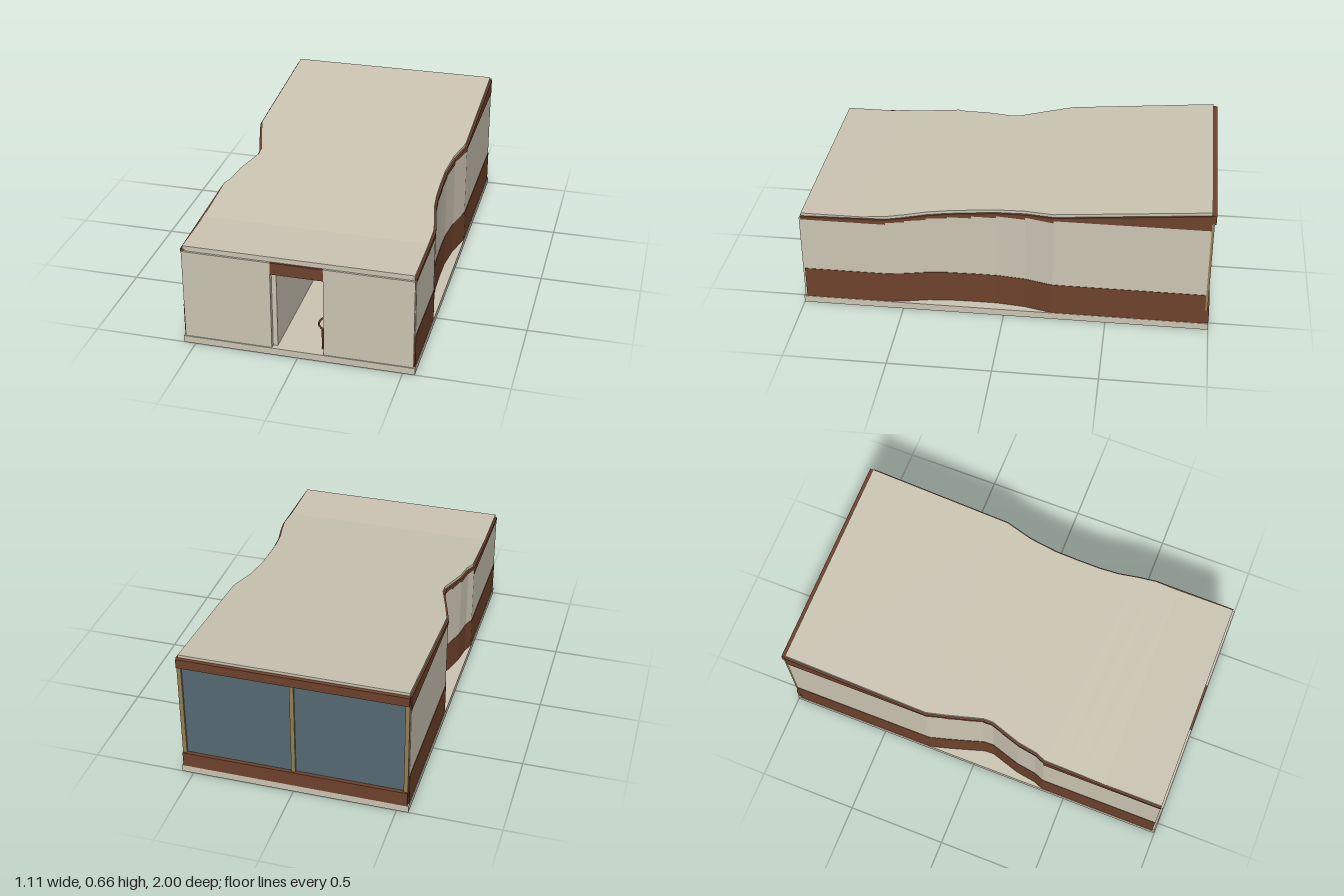
import * as THREE from 'three';

const paint = (name, color) => {
  const m = new THREE.MeshStandardMaterial({ color });
  m.name = name;
  return m;
};

// Solid through a row of four-cornered cross-sections running from +z to -z,
// corners counter-clockwise as seen from +z, with capped ends and flat faces
function loft(rings) {
  const pos = [];
  const quad = (a, b, c, d) => [a, b, c, a, c, d].forEach((p) => pos.push(...p));
  for (let i = 0; i + 1 < rings.length; i++) {
    for (let j = 0; j < 4; j++) {
      const k = (j + 1) % 4;
      quad(rings[i][j], rings[i + 1][j], rings[i + 1][k], rings[i][k]);
    }
  }
  quad(...rings[0]);
  quad(...[...rings[rings.length - 1]].reverse());
  const g = new THREE.BufferGeometry();
  g.setAttribute('position', new THREE.Float32BufferAttribute(pos, 3));
  g.computeVertexNormals();
  return g;
}

// Roof: flat over the entrance, then a steady rise to the back
const BACK = -0.98, FRONT = 0.985, SLAB = 0.015;
const roofTop = (z) => 0.515 + 0.145 * Math.max(0, (0.69 - z) / (0.69 - BACK));
const roofUnder = (z) => roofTop(z) - SLAB;

// Plan of each side wall as [distance from centre, z], front to back
const leftPlan = [[0.555, FRONT], [0.555, 0.57], [0.54, 0.48], [0.518, 0.38], [0.508, 0.28],
  [0.505, 0.16], [0.505, 0.04], [0.52, -0.1], [0.555, -0.24], [0.555, BACK]];
const rightPlan = [[0.555, FRONT], [0.555, 0.38], [0.535, 0.33], [0.52, 0.23], [0.492, 0.14],
  [0.473, 0.08], [0.475, 0.03], [0.503, -0.06], [0.53, -0.15], [0.555, -0.24], [0.555, BACK]];

function widthAt(plan, z) {
  for (let i = 0; i + 1 < plan.length; i++) {
    const [x0, z0] = plan[i], [x1, z1] = plan[i + 1];
    if (z <= z0 && z >= z1) return x0 + (x1 - x0) * (z0 - z) / (z0 - z1);
  }
  return plan[0][0];
}

export function createModel() {
  const model = new THREE.Group();
  const plaster = paint('plaster', 0xcdc6b4);
  const brown = paint('brown wood', 0x6e422c);
  const glass = paint('glass', 0x566a74);
  const oak = paint('light wood', 0x957f54);

  const add = (name, geometry, material, parent = model) => {
    const mesh = new THREE.Mesh(geometry, material);
    mesh.name = name;
    parent.add(mesh);
    return mesh;
  };
  // Box given by its limits along x, y and z
  const box = (name, material, x0, x1, y0, y1, z0, z1, parent) => {
    const mesh = add(name, new THREE.BoxGeometry(x1 - x0, y1 - y0, z1 - z0), material, parent);
    mesh.position.set((x0 + x1) / 2, (y0 + y1) / 2, (z0 + z1) / 2);
  };

  box('floorSlab', plaster, -0.557, 0.557, 0, 0.035, -1, 1);

  // Roof slab follows both waists
  const stations = [...new Set([...leftPlan, ...rightPlan].map((p) => p[1]).concat(0.69))]
    .sort((a, b) => b - a);
  add('roof', loft(stations.map((z) => {
    const l = widthAt(leftPlan, z) - 0.01, r = 0.01 - widthAt(rightPlan, z);
    const t = roofTop(z), u = roofUnder(z);
    return [[l, u, z], [l, t, z], [r, t, z], [r, u, z]];
  })), plaster);

  // Side walls: dark base, pale middle, dark top stepping up under the roof
  for (const [side, plan, s] of [['left', leftPlan, 1], ['right', rightPlan, -1]]) {
    const wall = new THREE.Group();
    wall.name = side + 'Wall';
    model.add(wall);
    const ring = ([x, z], inset, y0, y1) => {
      const outer = s * (x - inset), inner = s * (x - 0.022);
      const r = [[inner, y0, z], [outer, y0, z], [outer, y1, z], [inner, y1, z]];
      return s > 0 ? r : r.reverse();
    };
    add('wallBase', loft(plan.map((p) => ring(p, 0, 0.035, 0.2))), brown, wall);
    for (let i = 0; i + 1 < plan.length; i++) {
      const a = plan[i], b = plan[i + 1];
      const step = roofUnder(a[1]) - 0.015;
      add('wallMiddle', loft([a, b].map((p) => ring(p, 0.002, 0.2, step))), plaster, wall);
      add('wallTop', loft([a, b].map((p) => ring(p, 0, step, roofUnder(p[1])))), brown, wall);
    }
  }

  // Entrance front
  box('frontWallLeft', plaster, 0.125, 0.549, 0.035, 0.49, 0.972, 0.995);
  box('frontWallRight', plaster, -0.549, -0.125, 0.035, 0.49, 0.972, 0.995);
  box('doorLintel', brown, -0.125, 0.125, 0.43, 0.49, 0.972, 0.995);
  box('frontFascia', plaster, -0.545, 0.545, 0.49, 0.502, 0.965, 0.985);
  box('hallPartition', plaster, -0.125, -0.102, 0.035, 0.49, 0.2, 0.972);

  // Glazed back
  box('backSill', brown, -0.55, 0.55, 0.035, 0.11, -1, -0.975);
  box('backHeader', brown, -0.55, 0.55, 0.6, 0.646, -1, -0.975);
  box('backGlass', glass, -0.54, 0.54, 0.11, 0.6, -0.981, -0.975);
  for (const x of [-0.54, 0, 0.54]) {
    box('backMullion', oak, x - 0.01, x + 0.01, 0.11, 0.6, -0.992, -0.97);
  }

  // Table in the main room
  const table = new THREE.Group();
  table.name = 'table';
  model.add(table);
  box('tableTop', brown, -0.11, 0.13, 0.15, 0.16, -0.25, 0.1, table);
  for (const x of [-0.096, 0.094]) {
    for (const z of [-0.23, 0.08]) box('tableLeg', oak, x - 0.007, x + 0.007, 0.035, 0.15, z - 0.007, z + 0.007, table);
  }

  // Round stand just inside the door
  const stand = new THREE.Group();
  stand.name = 'stand';
  stand.position.set(0.145, 0, 0.89);
  model.add(stand);
  const rim = add('standRim', new THREE.TorusGeometry(0.068, 0.005, 6, 24), brown, stand);
  rim.rotation.x = Math.PI / 2;
  rim.position.y = 0.145;
  for (const x of [-0.038, 0.038]) {
    for (const z of [-0.056, 0.056]) box('standLeg', brown, x - 0.003, x + 0.003, 0.035, 0.145, z - 0.003, z + 0.003, stand);
  }
  return model;
}
